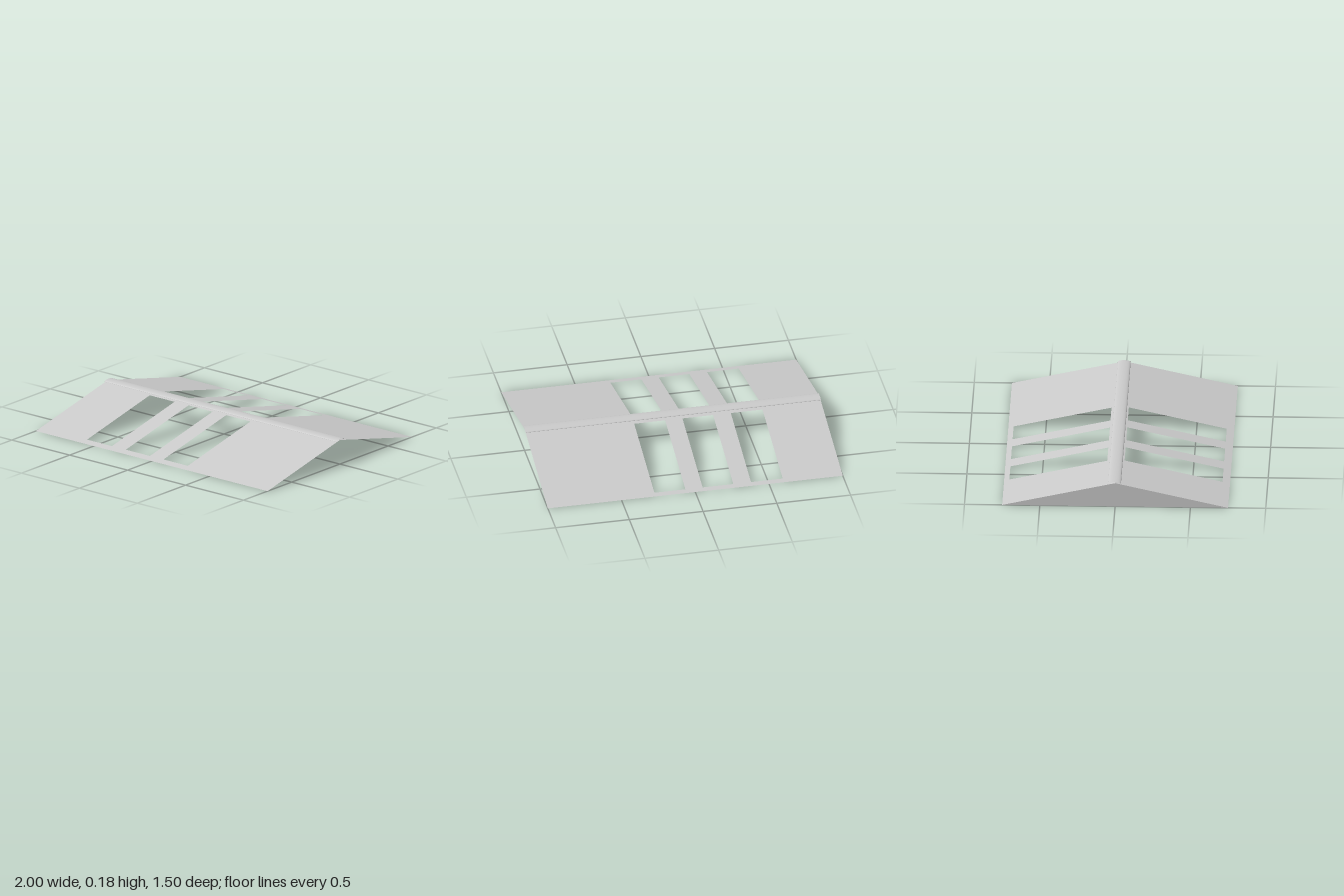
import * as THREE from 'three';

const HALF_X = 1, HALF_Z = 0.75, RIDGE_Y = 0.168;
const material = new THREE.MeshStandardMaterial({ color: 0xcccccc, side: THREE.DoubleSide });

// Skylight openings along x, shared by both slopes
const OPENINGS = [[-0.6, -0.385], [-0.265, -0.057], [0.06, 0.27]];

const rectangle = (Type, x0, x1, v0, v1) => new Type([
  new THREE.Vector2(x0, v0), new THREE.Vector2(x1, v0),
  new THREE.Vector2(x1, v1), new THREE.Vector2(x0, v1),
]);

function addMesh(group, geometry, name) {
  const mesh = new THREE.Mesh(geometry, material);
  mesh.name = name;
  group.add(mesh);
}

// Plan outline with holes, lifted onto the pitch of the roof
function slopeGeometry(zMin, zMax, holeMin, holeMax) {
  const shape = rectangle(THREE.Shape, -HALF_X, HALF_X, -zMax, -zMin);
  for (const [x0, x1] of OPENINGS) {
    shape.holes.push(rectangle(THREE.Path, x0, x1, -holeMax, -holeMin));
  }
  const geometry = new THREE.ShapeGeometry(shape);
  const p = geometry.attributes.position;
  for (let i = 0; i < p.count; i++) {
    const z = -p.getY(i);
    p.setXYZ(i, p.getX(i), RIDGE_Y * (1 - Math.abs(z) / HALF_Z), z);
  }
  geometry.computeVertexNormals();
  return geometry;
}

export function createModel() {
  const group = new THREE.Group();
  group.name = 'gableRoof';

  // Two pitched sheets
  addMesh(group, slopeGeometry(0, HALF_Z, 0.05, 0.7), 'frontSlope');
  addMesh(group, slopeGeometry(-HALF_Z, 0, -0.715, -0.065), 'backSlope');

  // Triangular wall at the -x end only; the other end is open
  const gable = new THREE.ShapeGeometry(new THREE.Shape([
    new THREE.Vector2(-HALF_Z, 0), new THREE.Vector2(HALF_Z, 0), new THREE.Vector2(0, RIDGE_Y),
  ]));
  gable.rotateY(-Math.PI / 2).translate(-HALF_X, 0, 0);
  addMesh(group, gable, 'gableWall');

  // Shallow curved cap along the ridge
  const cap = new THREE.CylinderGeometry(1, 1, 2 * HALF_X, 16, 1, true, 0, Math.PI);
  cap.rotateZ(Math.PI / 2).scale(1, 0.011, 0.043).translate(0, 0.165, -0.004);
  addMesh(group, cap, 'ridgeCap');

  return group;
}
